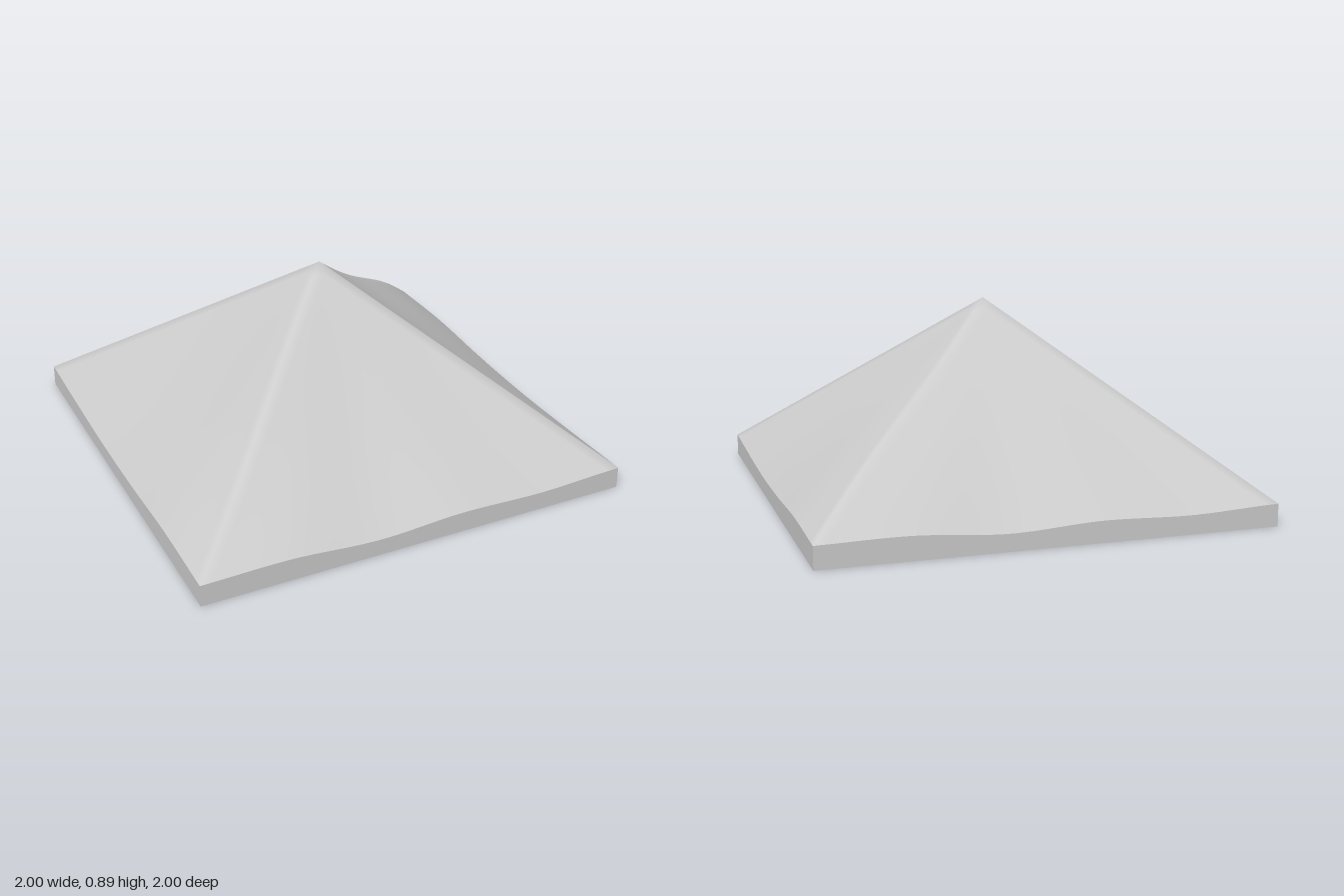
import * as THREE from 'three';

const N = 36; // grid cells per side
const APEX = 0.895, RIM = 0.1;

// Gentle unevenness along each eave, as [position, offset] runs from -1 to 1
const spline = (pts) => new THREE.SplineCurve(pts.map(([a, b]) => new THREE.Vector2(a, b)));
const wavy = spline([[-1, 0], [-0.65, 0.004], [-0.2, -0.024], [0.28, -0.005], [0.7, -0.016], [1, 0]]);
const slow = spline([[-1, 0], [-0.55, 0.005], [-0.1, -0.015], [0.3, -0.023], [0.7, -0.014], [1, 0]]);
const eave = (curve, t) => curve.getPoint(THREE.MathUtils.clamp((t + 1) / 2, 0, 1)).y;

// Height of the wavy outer skin
function roofHeight(x, z) {
  const m = Math.max(Math.abs(x), Math.abs(z));
  if (m < 1e-6) return APEX;
  const alongX = Math.abs(z) >= Math.abs(x);
  const edge = alongX ? eave(wavy, x / m * Math.sign(z)) : eave(slow, z / m * Math.sign(x));
  const swell = 0.015 * Math.sin(2 * Math.PI * m) * (z - x) / (2 * m);
  return RIM + (APEX - RIM) * (1 - m) + edge * m * m + swell;
}

// Height of the plain inner skin
const ceilingHeight = (x, z) => 0.78 * (1 - Math.max(Math.abs(x), Math.abs(z)));

function makeGeometry(positions, index) {
  const g = new THREE.BufferGeometry();
  g.setAttribute('position', new THREE.Float32BufferAttribute(positions, 3));
  g.setIndex(index);
  g.computeVertexNormals();
  return g;
}

// Square height field whose cells are split along the four hips
function skin(height, faceDown) {
  const pos = [], idx = [];
  const at = (i) => (2 * i) / N - 1;
  for (let j = 0; j <= N; j++)
    for (let i = 0; i <= N; i++) pos.push(at(i), height(at(i), at(j)), at(j));
  const tri = (a, b, c) => (faceDown ? idx.push(a, c, b) : idx.push(a, b, c));
  for (let j = 0; j < N; j++)
    for (let i = 0; i < N; i++) {
      const a = j * (N + 1) + i, b = a + 1, c = a + N + 1, d = c + 1;
      if ((i < N / 2) === (j < N / 2)) { tri(a, c, d); tri(a, d, b); }
      else { tri(a, c, b); tri(b, c, d); }
    }
  return makeGeometry(pos, idx);
}

// Vertical rim strip on one side, following the wavy eave
function rim(side) {
  const pos = [], idx = [];
  const corners = [[-1, 1], [1, 1], [1, -1], [-1, -1]];
  const [p, q] = [corners[side], corners[(side + 1) % 4]];
  for (let i = 0; i <= N; i++) {
    const x = p[0] + (q[0] - p[0]) * i / N, z = p[1] + (q[1] - p[1]) * i / N;
    pos.push(x, 0, z, x, roofHeight(x, z), z);
    if (i < N) idx.push(2 * i, 2 * i + 2, 2 * i + 1, 2 * i + 1, 2 * i + 2, 2 * i + 3);
  }
  return makeGeometry(pos, idx);
}

export function createModel() {
  const grey = new THREE.MeshStandardMaterial({ color: 0xcccccc });
  grey.name = 'light grey';
  const model = new THREE.Group();
  model.name = 'hippedRoof';
  const add = (name, geometry) => {
    const mesh = new THREE.Mesh(geometry, grey);
    mesh.name = name;
    model.add(mesh);
  };
  add('roofTop', skin(roofHeight, false));
  add('roofUnderside', skin(ceilingHeight, true));
  ['frontRim', 'leftRim', 'backRim', 'rightRim'].forEach((name, i) => add(name, rim(i)));
  return model;
}
